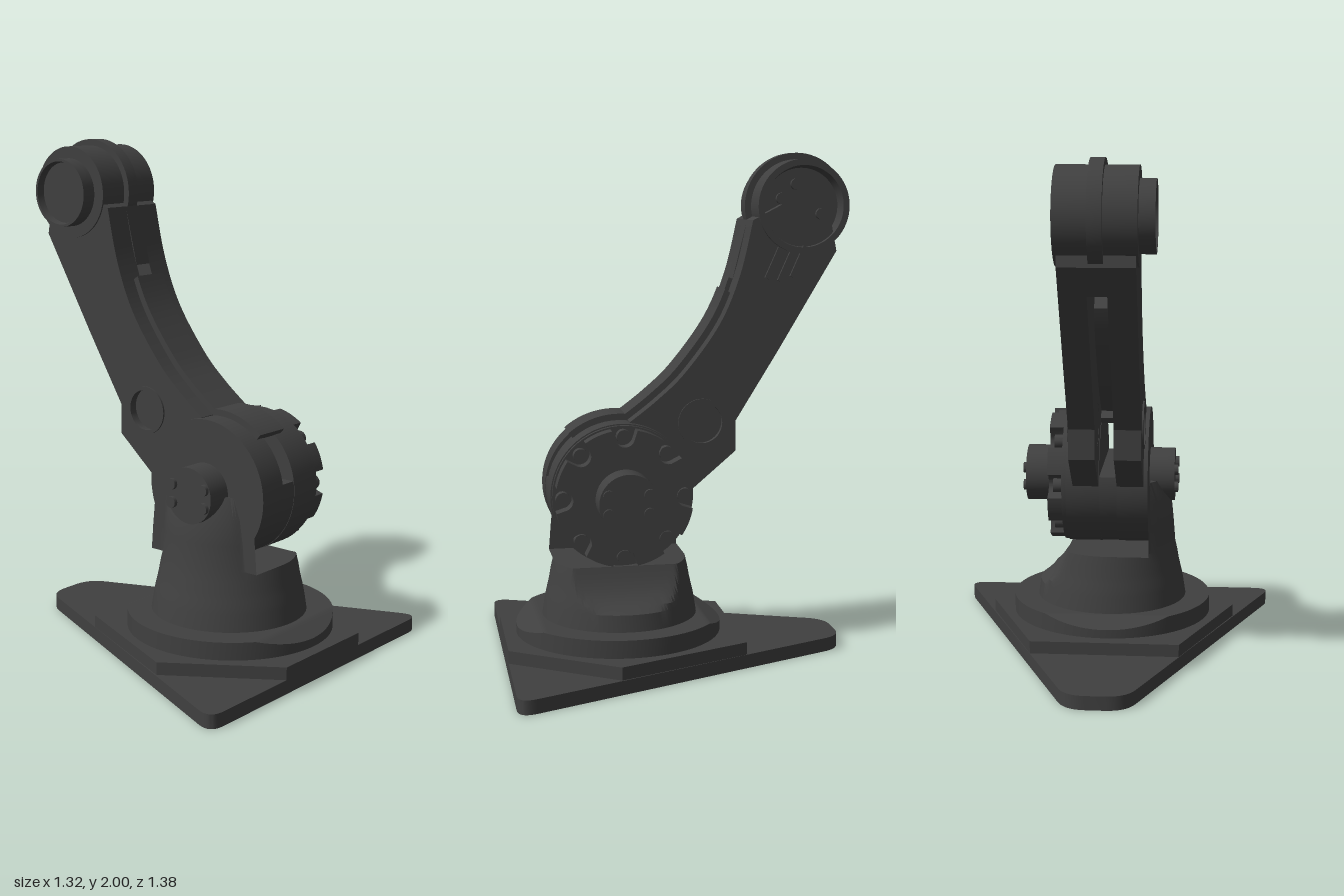
import * as THREE from 'three';
import { toCreasedNormals } from 'three/addons/utils/BufferGeometryUtils.js';

const V = (x, y) => new THREE.Vector2(x, y);
const HUB = { y: 0.685, z: 0.235 };    // lower joint axis
const HEAD = { y: 1.793, z: -0.485 };  // upper joint axis

export function createModel() {
  const model = new THREE.Group();
  const mat = new THREE.MeshStandardMaterial({ color: 0x404040 });
  mat.name = 'charcoal';

  const add = (name, geo) => {
    const mesh = new THREE.Mesh(toCreasedNormals(geo, 0.5), mat);
    mesh.name = name;
    model.add(mesh);
    return mesh;
  };
  // Slab from an (x, z) outline between two heights
  const slab = (name, shape, y0, y1) => add(name,
    new THREE.ExtrudeGeometry(shape, { depth: y1 - y0, bevelEnabled: false, curveSegments: 12 })
      .rotateX(Math.PI / 2).translate(0, y1, 0));
  // Side profile in (z, y), extruded from x0 to x1
  const side = (name, shape, x0, x1) => add(name,
    new THREE.ExtrudeGeometry(shape, { depth: x1 - x0, bevelEnabled: false, curveSegments: 32 })
      .rotateY(-Math.PI / 2).translate(x1, 0, 0));
  // Turned part on an x axis; profile of [radius, x], running towards +x
  const turned = (name, profile, y, z, seg = 64) => add(name,
    new THREE.LatheGeometry(profile.map(p => V(...p)), seg).rotateZ(-Math.PI / 2).translate(0, y, z));
  const disc = (name, r, x0, x1, y, z, seg) =>
    turned(name, [[0, x0], [r, x0], [r, x1], [0, x1]], y, z, seg);

  // Outline with every corner rounded off
  const rounded = (pts, d) => {
    const s = new THREE.Shape();
    pts.forEach((p, i) => {
      const a = pts[(i + pts.length - 1) % pts.length], b = pts[(i + 1) % pts.length];
      const p0 = p.clone().add(a.clone().sub(p).setLength(d));
      const p1 = p.clone().add(b.clone().sub(p).setLength(d));
      i ? s.lineTo(p0.x, p0.y) : s.moveTo(p0.x, p0.y);
      s.quadraticCurveTo(p.x, p.y, p1.x, p1.y);
    });
    s.closePath();
    return s;
  };

  // Base plates
  slab('basePlate', rounded([V(-0.683, 0.69), V(0.683, 0.69), V(0.115, -0.67), V(-0.115, -0.67)], 0.08), 0, 0.055);
  slab('middlePlate', new THREE.Shape([V(-0.235, 0.69), V(0.235, 0.69), V(0.51, 0.29),
    V(0.295, -0.235), V(-0.295, -0.235), V(-0.51, 0.29)]), 0.055, 0.105);

  // Round turntable, its top sloped off at front and back
  const table = new THREE.BoxGeometry(2, 1, 2, 1, 1, 48);
  const tp = table.attributes.position;
  for (let i = 0; i < tp.count; i++) {
    const a = tp.getZ(i) * Math.PI / 2, z = 0.41 * Math.sin(a);
    const top = 0.175 - Math.max(0, Math.abs(z) - 0.325) * 0.42;
    tp.setXYZ(i, tp.getX(i) * 0.41 * Math.cos(a), tp.getY(i) > 0 ? top : 0.105, 0.23 + z);
  }
  add('turntable', table);

  // Conical turret: hollowed on the left, rising as an upright on the right
  const rings = [ // radius, height, largest x
    [0, 0.17, 1], [0.31, 0.17, 1], [0.299, 0.24, 0.3], [0.294, 0.265, 0.25], [0.288, 0.29, 0.22],
    [0.281, 0.32, 0.198], [0.274, 0.36, 0.178], [0.265, 0.4, 0.165], [0.265, 0.4, -0.165],
    [0.257, 0.5, -0.165], [0.247, 0.6, -0.165], [0.215, 0.68, -0.165], [0, 0.68, -0.165]];
  const turret = new THREE.LatheGeometry(rings.map(r => V(r[0], r[1])), 128);
  const pos = turret.attributes.position;
  for (let i = 0; i < pos.count; i++) pos.setX(i, Math.min(pos.getX(i), rings[i % rings.length][2]));
  add('turret', turret.translate(0, 0, 0.225));

  // Lower joint: two drums with a slotted core between
  disc('hubDrumRight', 0.28, -0.16, -0.035, HUB.y, HUB.z);
  disc('hubDrumLeft', 0.28, 0.035, 0.17, HUB.y, HUB.z);
  const core = new THREE.Shape();
  const cut = Math.asin(0.045 / 0.278);
  core.absarc(HUB.z, HUB.y, 0.278, Math.PI - cut, 2 * Math.PI + cut, false);
  side('hubCore', core, -0.035, 0.035);

  // Curved cover over the hub slot
  const cover = new THREE.Shape();
  const a0 = 0.87, a1 = 2.1;
  cover.absarc(HUB.z, HUB.y, 0.305, a0, a1, false);
  cover.absarc(HUB.z, HUB.y, 0.277, a1, a0, true);
  side('hubCover', cover, -0.075, 0.075);

  // Scalloped flange with a bolt in each notch
  disc('flangeBase', 0.275, 0.17, 0.187, HUB.y, HUB.z);
  const outline = [];
  for (let i = 0; i < 240; i++) {
    const t = i / 240 * Math.PI * 2, step = Math.PI / 4;
    const d = t - Math.round(t / step) * step;
    const q = 0.04 ** 2 - (0.24 * Math.sin(d)) ** 2;
    const r = q > 0 ? 0.24 * Math.cos(d) - Math.sqrt(q) : 0.268;
    outline.push(V(HUB.z + r * Math.cos(t), HUB.y + r * Math.sin(t)));
  }
  side('flange', new THREE.Shape(outline), 0.187, 0.245);
  for (let i = 0; i < 8; i++) {
    const t = i * Math.PI / 4;
    disc('flangeBolt', 0.028, 0.18, 0.222, HUB.y + 0.236 * Math.sin(t), HUB.z + 0.236 * Math.cos(t), 20);
  }

  // Axle ends and their bolts
  disc('axleLeft', 0.115, 0.24, 0.35, HUB.y, HUB.z);
  disc('axleRight', 0.11, -0.262, -0.15, HUB.y, HUB.z);
  for (const dy of [-0.036, 0.036]) for (const dz of [-0.078, 0.078]) {
    disc('axleBolt', 0.022, 0.34, 0.362, HUB.y + dy, HUB.z + dz, 16);
    disc('axleBolt', 0.022, -0.277, -0.25, HUB.y + dy, HUB.z + dz, 16);
  }

  // Arm: two side rails with round recesses
  const front = new THREE.SplineCurve([V(0.2, 0.965), V(0.09, 1.05), V(-0.02, 1.155), V(-0.155, 1.34),
    V(-0.235, 1.53), V(-0.285, 1.74)]).getPoints(40);
  const rail = new THREE.Shape([...front, V(-0.4, 1.8), V(-0.6, 1.72), V(-0.62, 1.62), V(-0.39, 1.235),
    V(-0.22, 0.96), V(-0.22, 0.84), V(-0.05, 0.695), V(0.1, 0.69)]);
  const eye = { z: -0.085, y: 0.955 };
  const hole = new THREE.Path();
  hole.absarc(eye.z, eye.y, 0.084, 0, Math.PI * 2, true);
  rail.holes.push(hole);
  side('armRailLeft', rail, 0.037, 0.14);
  side('armRailRight', rail, -0.143, -0.037);
  disc('recessFloorLeft', 0.085, 0.038, 0.11, eye.y, eye.z);
  disc('recessFloorRight', 0.085, -0.113, -0.038, eye.y, eye.z);
  for (const [x0, x1] of [[0.135, 0.147], [-0.15, -0.138]])
    turned('recessRim', [[0.08, x0], [0.095, x0], [0.095, x1], [0.08, x1], [0.08, x0]], eye.y, eye.z);

  // Solid upper end of the arm, closing the channel
  side('armNeck', new THREE.Shape([V(-0.228, 1.51), V(-0.285, 1.74), V(-0.4, 1.8), V(-0.6, 1.72),
    V(-0.62, 1.62), V(-0.554, 1.51)]), -0.038, 0.038);

  // Raised front panel following the arm's curve
  const run = front.filter(p => p.y < 1.48);
  side('armPanel', new THREE.Shape([...run.map(p => V(p.x + 0.02, p.y + 0.015)),
    ...run.map(p => V(p.x - 0.035, p.y - 0.025)).reverse()]), -0.075, 0.075);

  // Short cooling fins below the head
  [[-0.365, 1.575], [-0.415, 1.565], [-0.465, 1.58]].forEach(([z, y]) => {
    const fin = add('armFin', new THREE.BoxGeometry(0.02, 0.13, 0.016));
    fin.position.set(0.142, y, z);
    fin.rotation.x = -0.42;
  });

  // Head: drum with a recessed left face, centre band and right cap
  turned('headDrum', [[0, -0.15], [0.182, -0.15], [0.182, 0.152], [0.158, 0.152], [0.148, 0.1], [0, 0.1]],
    HEAD.y, HEAD.z);
  disc('headBand', 0.207, -0.027, 0.027, HEAD.y, HEAD.z);
  turned('headCap', [[0, -0.18], [0.12, -0.18], [0.125, -0.21], [0.135, -0.21], [0.135, -0.14], [0, -0.14]],
    HEAD.y, HEAD.z);
  for (const [dz, dy] of [[0.08, 0.03], [0.022, 0.085], [-0.08, -0.03], [-0.025, -0.083]])
    disc('headBolt', 0.022, 0.09, 0.118, HEAD.y + dy, HEAD.z + dz, 16);

  return model;
}
